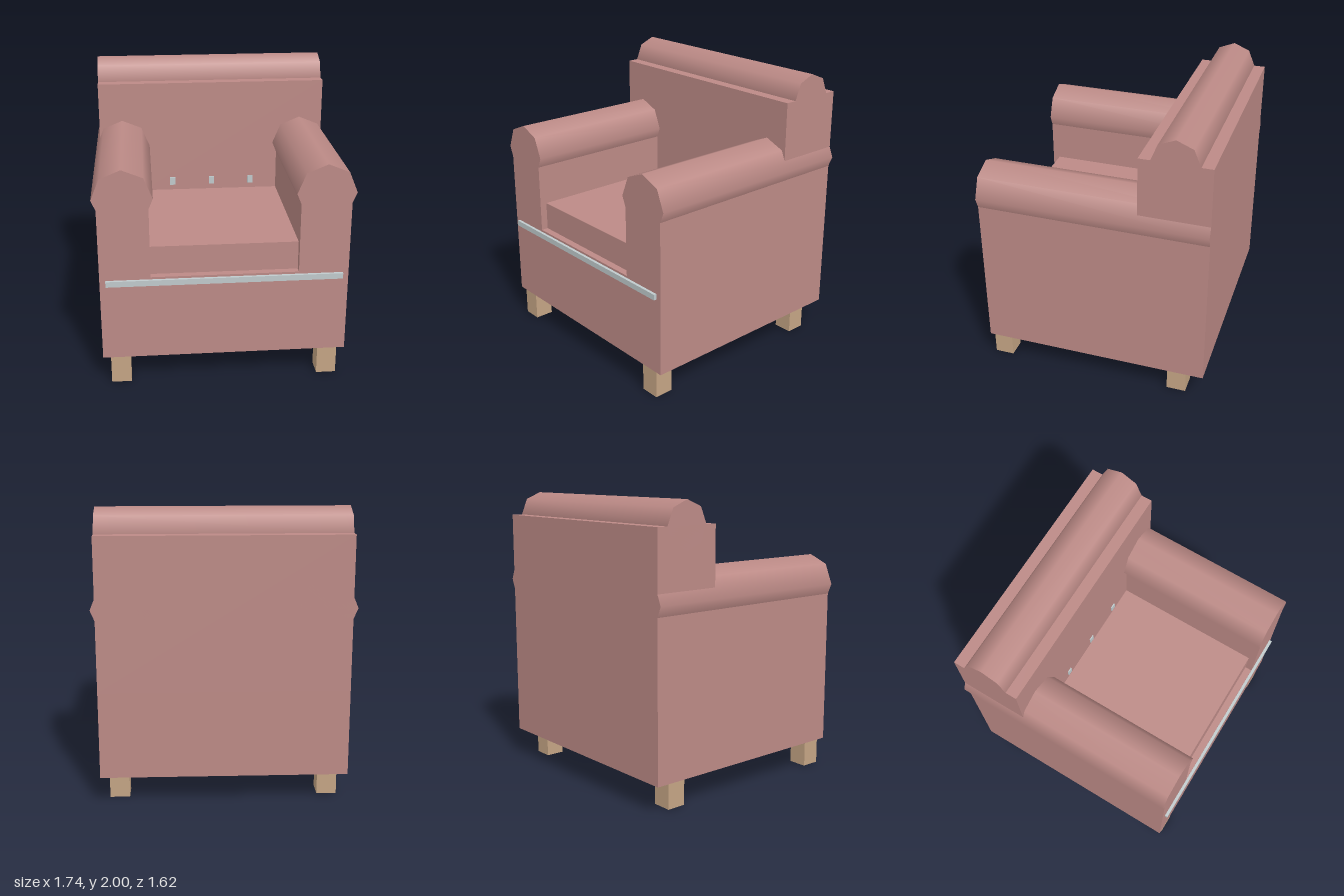
import * as THREE from 'three';

export function createModel() {
  const model = new THREE.Group();
  model.name = 'armchair';

  const material = (name, color) => {
    const m = new THREE.MeshStandardMaterial({ color });
    m.name = name;
    return m;
  };
  const fabric = material('rose fabric', 0xbc8a86);
  const wood = material('light wood', 0xc4a484);
  const trim = material('pale grey trim', 0xc0cacc);

  const add = (name, geometry, mat, x, y, z) => {
    const mesh = new THREE.Mesh(geometry, mat);
    mesh.name = name;
    mesh.position.set(x, y, z);
    model.add(mesh);
    return mesh;
  };
  // Box given by its limits on each axis
  const box = (name, mat, [x0, x1], [y0, y1], [z0, z1]) =>
    add(name, new THREE.BoxGeometry(x1 - x0, y1 - y0, z1 - z0), mat,
      (x0 + x1) / 2, (y0 + y1) / 2, (z0 + z1) / 2);

  const FRONT = 0.79, BACK = -0.81, HALF = 0.84;

  // Body and seat
  box('base', fabric, [-HALF, HALF], [0.2, 0.8], [BACK, FRONT]);
  box('seatCushion', fabric, [-0.5, 0.5], [0.8, 1], [-0.33, 0.74]);

  // Backrest with an eight-sided roll along the top
  box('backrest', fabric, [-HALF, HALF], [0.8, 1.84], [BACK, -0.33]);
  add('backRoll', new THREE.CylinderGeometry(0.16, 0.16, HALF * 2, 8).rotateZ(Math.PI / 2),
    fabric, 0, 1.84, -0.57);

  // Arms with eight-sided rolls
  for (const [side, s] of [['left', 1], ['right', -1]]) {
    const inner = s * 0.5, outer = s * HALF;
    box(side + 'Arm', fabric, [Math.min(inner, outer), Math.max(inner, outer)],
      [0.8, 1.36], [BACK, FRONT]);
    add(side + 'ArmRoll', new THREE.CylinderGeometry(0.2, 0.2, FRONT - BACK, 8).rotateX(Math.PI / 2),
      fabric, s * 0.67, 1.36, (FRONT + BACK) / 2);

    // Legs
    for (const [end, z] of [['Front', 0.715], ['Back', -0.61]])
      add(side + end + 'Leg', new THREE.BoxGeometry(0.136, 0.2, 0.136), wood, s * 0.719, 0.1, z);
  }

  // Front piping and backrest buttons
  box('frontTrim', trim, [-0.8, 0.8], [0.745, 0.785], [FRONT, 0.81]);
  for (const x of [-0.3, 0, 0.3])
    box('button', trim, [x - 0.02, x + 0.02], [1.04, 1.1], [-0.33, -0.322]);

  return model;
}
